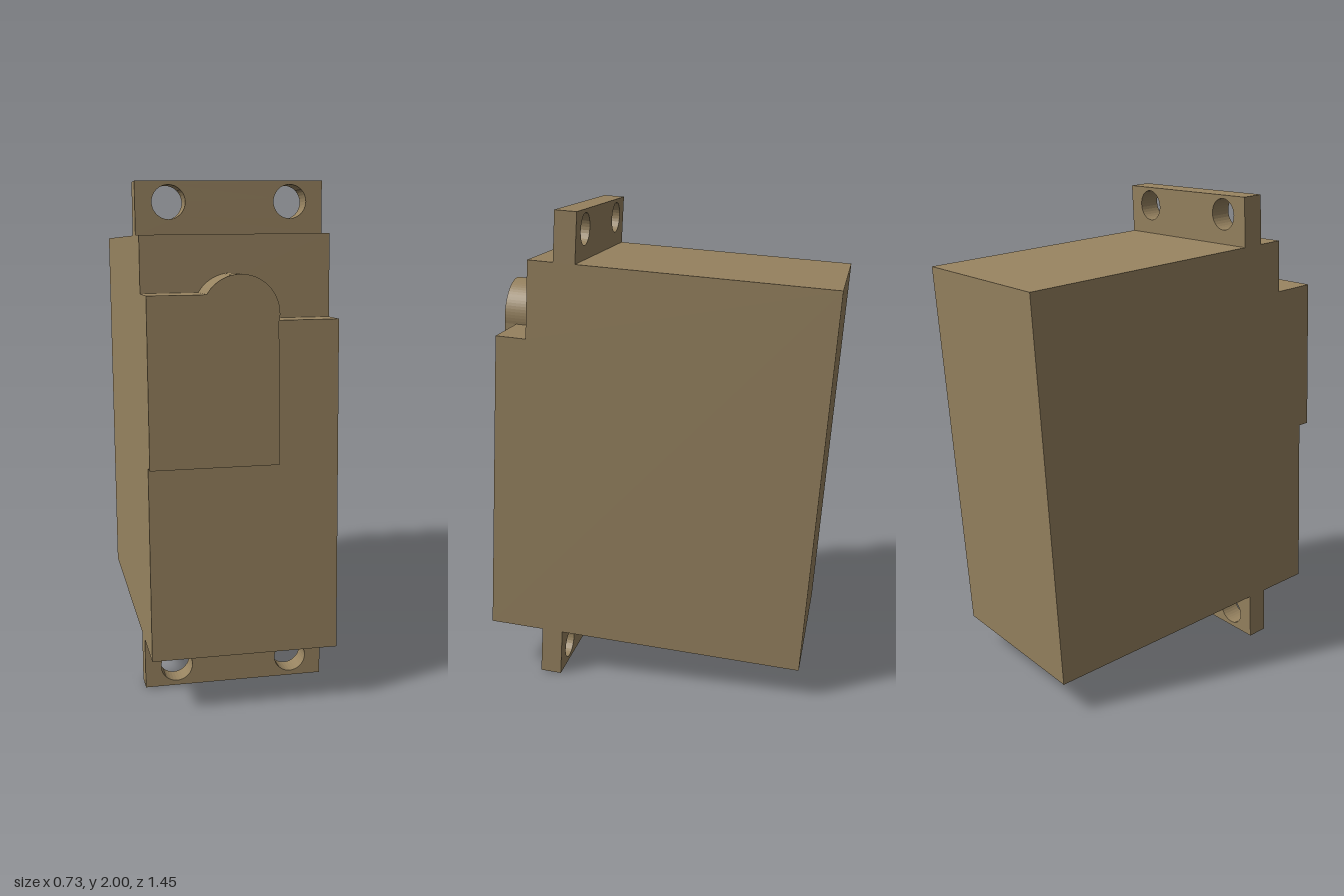
import * as THREE from 'three';

const WIDTH = 0.725;
const HALF = WIDTH / 2;

export function createModel() {
  const model = new THREE.Group();
  model.name = 'servoMotor';
  const casing = new THREE.MeshStandardMaterial({ color: 0x978360 });
  casing.name = 'tan plastic';

  // Everything sits in a frame leaning back slightly; its origin is the lower front edge.
  const servo = new THREE.Group();
  servo.name = 'tiltedServo';
  servo.position.set(0, 0.225, 0.725);
  servo.rotation.x = -0.0654;
  model.add(servo);

  const add = (name, geometry) => {
    const mesh = new THREE.Mesh(geometry, casing);
    mesh.name = name;
    servo.add(mesh);
  };

  const extrude = (shape, depth, back, curveSegments = 16) =>
    new THREE.ExtrudeGeometry(shape, { depth, bevelEnabled: false, curveSegments }).translate(0, 0, back);

  // Case: side profile (distance behind the front, height) with a step at the upper front
  const profile = new THREE.Shape([
    [0, 0], [1.346, 0], [1.346, 1.594], [0.126, 1.594], [0.126, 1.279], [0, 1.279],
  ].map(([a, b]) => new THREE.Vector2(a, b)));
  add('case', extrude(profile, WIDTH, -HALF).rotateY(Math.PI / 2));

  // Mounting tabs above and below the case, each with two screw holes
  const tab = (name, bottom, top, holeY) => {
    const shape = new THREE.Shape();
    shape.moveTo(-HALF, bottom);
    shape.lineTo(HALF, bottom);
    shape.lineTo(HALF, top);
    shape.lineTo(-HALF, top);
    shape.closePath();
    for (const side of [-1, 1]) {
      const hole = new THREE.Path();
      hole.absarc(side * 0.235, holeY, 0.064, 0, Math.PI * 2, true);
      shape.holes.push(hole);
    }
    add(name, extrude(shape, 0.089, -0.319));
  };
  tab('upperMountingTab', 1.594, 1.794, 1.716);
  tab('lowerMountingTab', -0.203, 0, -0.12);

  // Gear cover: raised front plate with a rounded hump, reaching back onto the step
  const cx = -0.02, cy = 1.306, r = 0.145, shoulder = 1.38;
  const start = Math.asin((1.279 - cy) / r);
  const end = Math.PI - Math.asin((shoulder - cy) / r);
  const cover = new THREE.Shape();
  cover.moveTo(-HALF, 0.748);
  cover.lineTo(0.121, 0.748);
  cover.lineTo(0.121, 1.279);
  cover.absarc(cx, cy, r, start, end, false);
  cover.lineTo(-HALF, shoulder);
  cover.closePath();
  add('gearCover', extrude(cover, 0.176, -0.126));

  return model;
}
